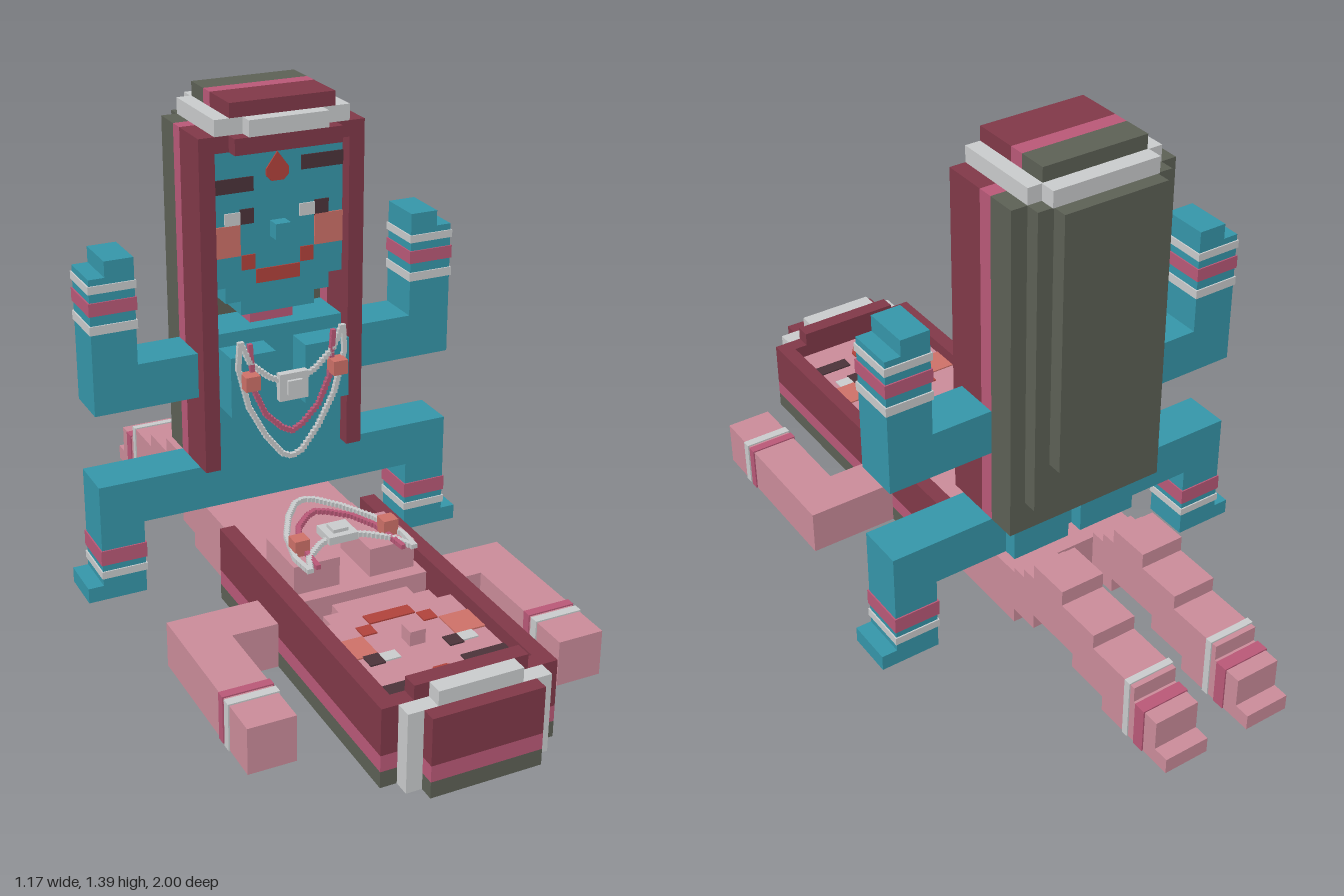
import * as THREE from 'three';

const mat = (name, color) => {
  const m = new THREE.MeshStandardMaterial({ color });
  m.name = name;
  return m;
};
const M = {
  teal: mat('teal skin', 0x3595a8), pink: mat('pink skin', 0xc98b99),
  maroon: mat('maroon hair', 0x803848), rose: mat('rose', 0xb85877),
  grey: mat('olive grey', 0x5c6055), white: mat('pale silver', 0xc8cacb),
  red: mat('red', 0xb0423b), salmon: mat('salmon', 0xcc7068), brown: mat('dark brown', 0x4b3339),
};

// Box given by its limits on each axis
function box(parent, name, m, x0, x1, y0, y1, z0, z1) {
  const mesh = new THREE.Mesh(new THREE.BoxGeometry(x1 - x0, y1 - y0, z1 - z0), m);
  mesh.position.set((x0 + x1) / 2, (y0 + y1) / 2, (z0 + z1) / 2);
  mesh.name = name;
  parent.add(mesh);
}
// The same box on both sides of the middle
function pair(parent, name, m, x0, x1, ...r) {
  box(parent, name, m, x0, x1, ...r);
  box(parent, name, m, -x1, -x0, ...r);
}

const FACE = -0.17, E = 0.004;

function hair(g, back) {
  pair(g, 'hairSide', M.maroon, 0.195, 0.24, 0.35, 1.305, -0.26, -0.13);
  pair(g, 'hairSideStripe', M.rose, 0.195, 0.24, 0.35, 1.305, -0.305, -0.26);
  box(g, 'hairTop', M.maroon, -0.195, 0.195, 1.26, 1.305, -0.26, -0.13);
  box(g, 'hairTopStripe', M.rose, -0.195, 0.195, 1.26, 1.305, -0.305, -0.26);
  box(g, 'fringe', M.maroon, -0.155, 0.155, 1.26, 1.305, -0.13, -0.09);
  // Back of the hair in shrinking layers, cut off at the given depth
  [[0.24, 0.35, -0.305, -0.39], [0.195, 0.44, -0.39, -0.432], [0.15, 0.57, -0.432, -0.475]]
    .forEach(([x, y, z1, z0]) => {
      if (z1 > back) box(g, 'hairBack', M.grey, -x, x, y, 1.305, Math.max(z0, back), z1);
    });
  // Headband with stepped corners, and the striped crown of hair above
  box(g, 'headband', M.white, -0.195, 0.195, 1.305, 1.35, Math.max(-0.39, back), -0.13);
  box(g, 'headbandFront', M.white, -0.115, 0.115, 1.305, 1.35, -0.13, -0.09);
  if (back < -0.4) box(g, 'headbandBack', M.white, -0.155, 0.155, 1.305, 1.35, -0.435, -0.39);
  box(g, 'crown', M.maroon, -0.152, 0.152, 1.35, 1.39, -0.26, -0.13);
  box(g, 'crownStripe', M.rose, -0.152, 0.152, 1.35, 1.39, -0.305, -0.26);
  box(g, 'crownBack', M.grey, -0.152, 0.152, 1.35, 1.39, Math.max(-0.388, back), -0.305);
}

function face(g, skin) {
  // Head narrows in steps to the jaw
  [[0.195, 0.87, 1.26], [0.155, 0.825, 0.87], [0.11, 0.785, 0.825]]
    .forEach(([x, y0, y1]) => box(g, 'head', skin, -x, x, y0, y1, -0.305, FACE));
  box(g, 'neck', M.rose, -0.065, 0.065, 0.74, 0.785, -0.305, -0.215);
  box(g, 'nose', skin, -0.022, 0.022, 1.0, 1.045, FACE, -0.13);
  const paint = (name, m, x0, x1, y0, y1) => box(g, name, m, x0, x1, y0, y1, FACE - E, FACE + E);
  paint('rightBrow', M.brown, -0.195, -0.07, 1.135, 1.175);
  paint('leftBrow', M.brown, 0.07, 0.195, 1.175, 1.215);
  paint('rightEyeWhite', M.white, -0.155, -0.11, 1.045, 1.08);
  paint('rightIris', M.brown, -0.11, -0.07, 1.045, 1.087);
  paint('leftEyeWhite', M.white, 0.065, 0.11, 1.045, 1.08);
  paint('leftIris', M.brown, 0.11, 0.152, 1.04, 1.085);
  paint('rightCheek', M.salmon, -0.195, -0.11, 0.957, 1.045);
  paint('leftCheek', M.salmon, 0.11, 0.195, 0.957, 1.045);
  paint('mouth', M.red, -0.065, 0.065, 0.872, 0.912);
  paint('mouthCorner', M.red, -0.107, -0.067, 0.915, 0.957);
  paint('mouthCorner', M.red, 0.067, 0.107, 0.915, 0.957);
  // Forehead drop
  const s = new THREE.Shape();
  s.moveTo(0, 1.235);
  [[-0.033, 1.19], [-0.033, 1.17], [-0.018, 1.155], [0.018, 1.155], [0.033, 1.17], [0.033, 1.19]]
    .forEach(p => s.lineTo(...p));
  const drop = new THREE.Mesh(new THREE.ExtrudeGeometry(s, { depth: 0.005, bevelEnabled: false }), M.red);
  drop.position.z = FACE;
  drop.name = 'foreheadDrop';
  g.add(drop);
}

// String of little cube beads along a mirrored path
function beads(g, name, m, pts, z) {
  const all = [...pts, ...pts.slice(0, -1).reverse().map(([x, y]) => [-x, y])];
  const path = new THREE.CurvePath();
  for (let i = 1; i < all.length; i++) {
    path.add(new THREE.LineCurve(new THREE.Vector2(...all[i - 1]), new THREE.Vector2(...all[i])));
  }
  const n = Math.round(path.getLength() / 0.012);
  const mesh = new THREE.InstancedMesh(new THREE.BoxGeometry(0.013, 0.013, 0.013), m, n + 1);
  mesh.dispose();
  const string = new THREE.Group();
  string.name = name;
  for (let i = 0; i <= n; i++) {
    const p = path.getPointAt(i / n);
    const bead = new THREE.Mesh(mesh.geometry, m);
    bead.name = 'bead';
    bead.position.set(p.x, p.y, z);
    string.add(bead);
  }
  g.add(string);
}

function upperBody(skin, back) {
  const g = new THREE.Group();
  hair(g, back);
  face(g, skin);
  box(g, 'torso', skin, -0.195, 0.195, 0.3, 0.74, -0.305, FACE);
  pair(g, 'chest', skin, 0.045, 0.178, 0.525, 0.7, FACE, -0.087);
  beads(g, 'outerNecklace', M.white,
    [[-0.155, 0.74], [-0.16, 0.67], [-0.13, 0.55], [-0.08, 0.455], [-0.03, 0.39], [0, 0.377]], -0.08);
  beads(g, 'middleNecklace', M.rose,
    [[-0.125, 0.73], [-0.115, 0.6], [-0.08, 0.52], [-0.03, 0.47], [0, 0.455]], -0.08);
  beads(g, 'innerNecklace', M.white, [[-0.15, 0.74], [-0.125, 0.68], [-0.07, 0.63], [0, 0.595]], -0.08);
  box(g, 'medallion', M.white, -0.043, 0.043, 0.555, 0.635, -0.087, -0.065);
  box(g, 'medallionCentre', M.white, -0.022, 0.022, 0.574, 0.616, -0.065, -0.055);
  pair(g, 'necklaceFlower', M.salmon, 0.11, 0.153, 0.613, 0.655, -0.087, -0.042);
  return g;
}

function standingFigure() {
  const g = upperBody(M.teal, -1);
  g.name = 'standingFigure';
  const b = -0.305, f = FACE;
  box(g, 'hips', M.teal, -0.54, 0.54, 0.22, 0.35, b, f);
  pair(g, 'seat', M.teal, 0.02, 0.195, 0.22, 0.35, -0.345, b);
  pair(g, 'upperArm', M.teal, 0.195, 0.54, 0.565, 0.695, b, f);
  pair(g, 'forearm', M.teal, 0.413, 0.54, 0.695, 0.955, b, f);
  pair(g, 'hand', M.teal, 0.413, 0.495, 0.955, 1.0, b, f);
  pair(g, 'shin', M.teal, 0.413, 0.54, 0, 0.22, b, f);
  pair(g, 'foot', M.teal, 0.54, 0.585, 0, 0.045, b, f);
  // Bangles and anklets
  [[0.8, 0.825, M.white], [0.853, 0.89, M.rose], [0.915, 0.937, M.white],
    [0.11, 0.155, M.rose], [0.068, 0.09, M.white]].forEach(([y0, y1, m]) =>
    pair(g, 'bangle', m, 0.413 - E, 0.54 + E, y0, y1, b - E, f + E));
  return g;
}

function lyingFigure() {
  const g = new THREE.Group();
  g.name = 'lyingFigure';
  const top = upperBody(M.pink, -0.35);
  top.name = 'lyingUpperBody';
  top.rotation.set(-Math.PI / 2, 0, Math.PI);
  top.position.set(0, 0.35, -0.39);
  g.add(top);
  box(g, 'pelvis', M.pink, -0.195, 0.195, 0, 0.175, -0.345, -0.04);
  pair(g, 'upperArm', M.pink, 0.24, 0.5, 0, 0.13, 0.215, 0.345);
  pair(g, 'forearm', M.pink, 0.37, 0.5, 0, 0.13, 0.345, 0.735);
  pair(g, 'armBangle', M.rose, 0.37 - E, 0.5 + E, 0, 0.13 + E, 0.57, 0.595);
  pair(g, 'armBangle', M.white, 0.37 - E, 0.5 + E, 0, 0.13 + E, 0.605, 0.63);
  // Bent legs as stepped blocks: z from, z to, bottom, top
  [[-0.345, -0.39, 0.045, 0.19], [-0.39, -0.435, 0.045, 0.217], [-0.435, -0.56, 0.09, 0.262],
    [-0.56, -0.61, 0.09, 0.217], [-0.61, -0.695, 0.045, 0.217], [-0.695, -0.74, 0.045, 0.175],
    [-0.74, -0.865, 0, 0.175], [-0.865, -0.955, 0, 0.13], [-0.955, -1, 0, 0.045]]
    .forEach(([z1, z0, y0, y1]) => pair(g, 'leg', M.pink, 0.065, 0.195, y0, y1, z0, z1));
  pair(g, 'anklet', M.white, 0.065 - E, 0.195 + E, 0, 0.175 + E, -0.85, -0.83);
  pair(g, 'anklet', M.rose, 0.065 - E, 0.195 + E, 0, 0.13 + E, -0.91, -0.875);
  return g;
}

export function createModel() {
  const model = new THREE.Group();
  model.name = 'twoBlockFigures';
  model.add(standingFigure(), lyingFigure());
  return model;
}
